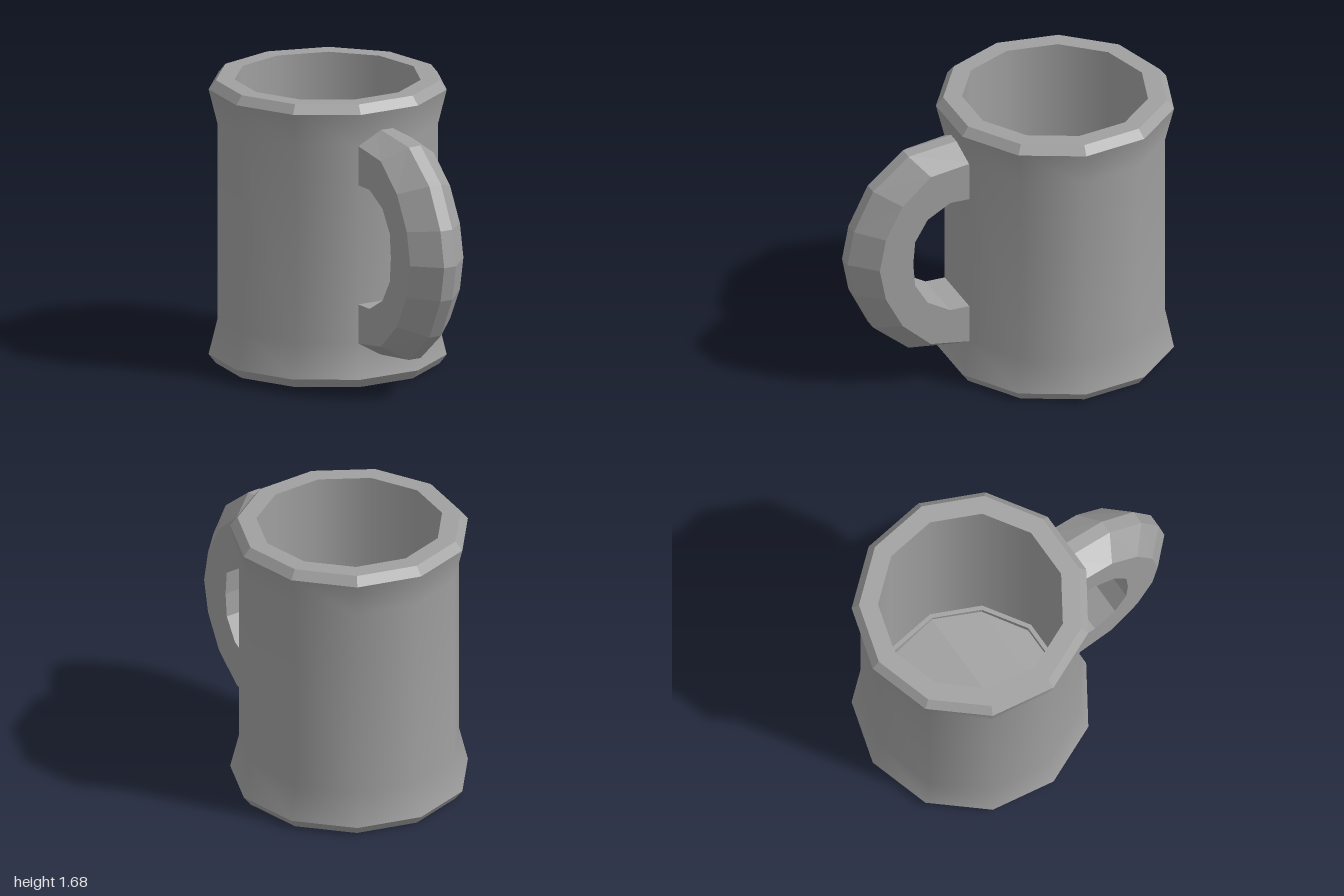
import * as THREE from 'three';

const SIDES = 11;
const CENTRE_Z = -0.311;
const COLOR = 0xa0a0a0;

function part(name, geometry, flatShading) {
  const mesh = new THREE.Mesh(geometry, new THREE.MeshStandardMaterial({ color: COLOR, flatShading }));
  mesh.name = name;
  return mesh;
}

// Eleven-sided ring surface from a [radius, height] profile
function ring(name, profile, flat) {
  const points = profile.map(([r, y]) => new THREE.Vector2(r, y));
  let geometry = new THREE.LatheGeometry(points, SIDES, Math.PI);
  if (flat) {
    geometry = geometry.toNonIndexed();
    geometry.computeVertexNormals();
  } else {
    geometry.normalizeNormals();
  }
  const mesh = part(name, geometry, flat);
  mesh.position.z = CENTRE_Z;
  return mesh;
}

// Flat-shaded surface from a list of four-cornered faces
function faceted(name, quads) {
  const positions = quads.flatMap(([a, b, c, d]) => [a, b, c, a, c, d].flat());
  const geometry = new THREE.BufferGeometry();
  geometry.setAttribute('position', new THREE.Float32BufferAttribute(positions, 3));
  geometry.computeVertexNormals();
  return part(name, geometry, true);
}

// Chamfered section swept through paired outlines
function handle() {
  // Upper half of each outline as [z, y], mirrored below the middle height
  const middle = 0.842;
  const mirror = (half) => [
    ...half,
    ...half.slice(0, -1).reverse().map(([z, y]) => [z, 2 * middle - y]),
  ];
  const outer = mirror([[0.28, 1.513], [0.62, 1.472], [0.84, 1.29], [0.96, 1.05], [1, middle]]);
  const shoulder = mirror([[0.28, 1.43], [0.54, 1.392], [0.715, 1.235], [0.82, 1.037], [0.858, middle]]);
  const inner = mirror([[0.28, 1.195], [0.42, 1.195], [0.56, 1.115], [0.638, 0.985], [0.65, middle]]);
  // Each corner of the section: half width and the outline it follows
  const section = [[0.04, outer], [-0.04, outer], [-0.18, shoulder], [-0.18, inner], [0.18, inner], [0.18, shoulder]];

  const corner = (i, k) => {
    const [x, outline] = section[k % section.length];
    return [x, outline[i][1], outline[i][0]];
  };
  const quads = [];
  for (let i = 0; i < outer.length - 1; i++) {
    for (let k = 0; k < section.length; k++) {
      quads.push([corner(i, k), corner(i, k + 1), corner(i + 1, k + 1), corner(i + 1, k)]);
    }
  }
  return faceted('handle', quads);
}

// Uneven floor, folded in strips from back to front
function floor() {
  // [z, half width, height]
  const rows = [
    [-0.823, 0, 0.14], [-0.742, 0.277, 0.12], [-0.58, 0.42, 0.08], [-0.524, 0.466, 0.087],
    [-0.238, 0.507, 0.12], [0.024, 0.387, 0.11], [0.18, 0.144, 0.1],
  ];
  const quads = [];
  for (let i = 0; i < rows.length - 1; i++) {
    const [z0, w0, y0] = rows[i];
    const [z1, w1, y1] = rows[i + 1];
    quads.push([[-w0, y0, z0], [-w1, y1, z1], [w1, y1, z1], [w0, y0, z0]]);
  }
  return faceted('floor', quads);
}

export function createModel() {
  const group = new THREE.Group();
  group.name = 'mug';
  group.add(
    // Base and its chamfer
    ring('base', [[0, 0], [0.647, 0], [0.689, 0.055]], true),
    // Outer wall, flared at both ends
    ring('outerWall', [[0.689, 0.055], [0.638, 0.26], [0.638, 1.42], [0.689, 1.625]], false),
    // Chamfered rim
    ring('rim', [[0.689, 1.625], [0.647, 1.677], [0.538, 1.677]], true),
    // Hollow inside, with a narrow ledge round the floor
    ring('innerWall', [[0.538, 1.677], [0.538, 0.14]], false),
    ring('floorLedge', [[0.538, 0.14], [0.512, 0.14], [0.512, 0.07]], true),
    floor(),
    handle(),
  );
  return group;
}
